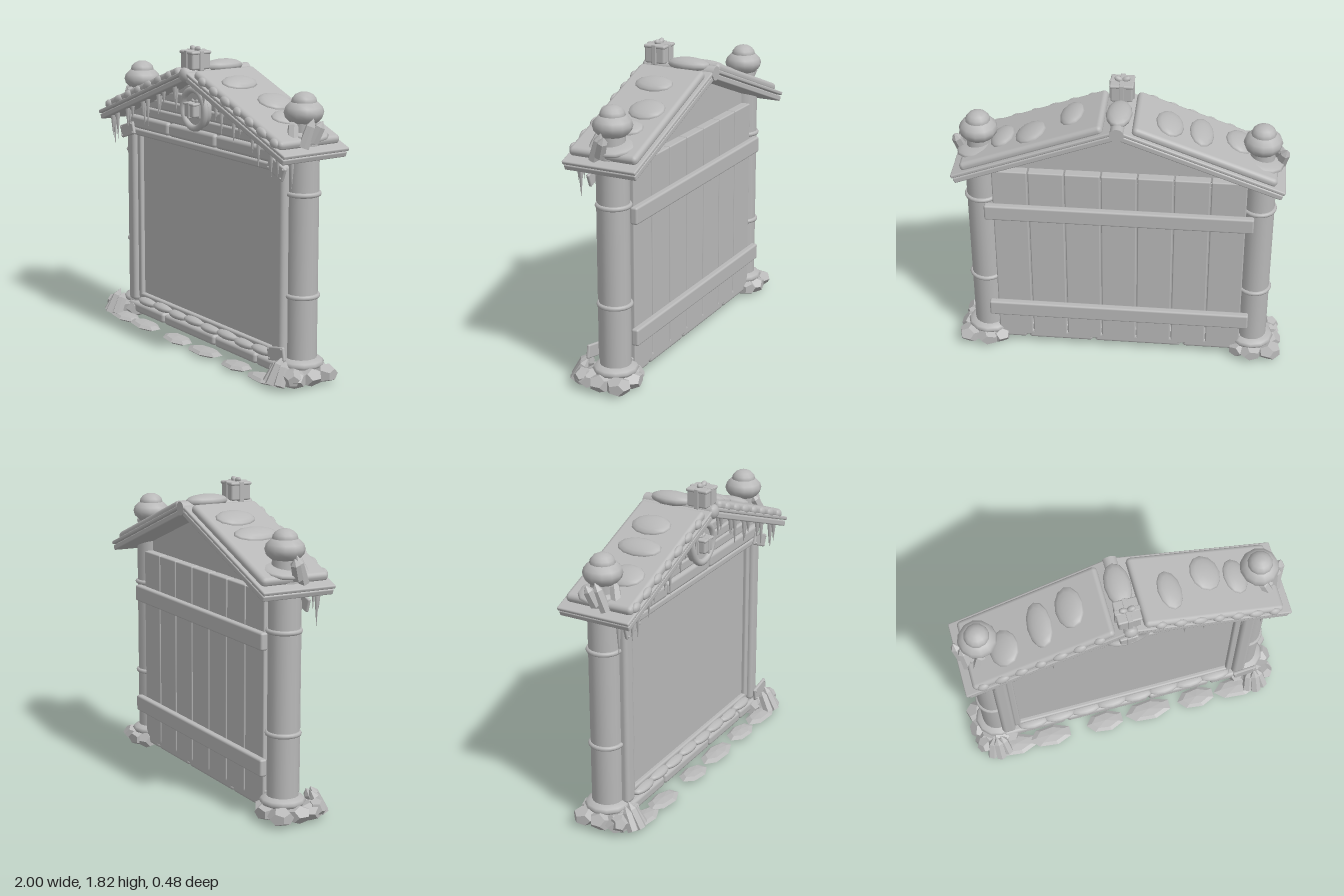
import * as THREE from 'three';
import { RoundedBoxGeometry } from 'three/addons/geometries/RoundedBoxGeometry.js';

export function createModel() {
  const root = new THREE.Group();
  root.name = 'noticeBoard';
  const grey = new THREE.MeshStandardMaterial({ color: 0xb8b8b8 });
  grey.name = 'plain grey';

  // ---- helpers ----
  const add = (geo, name, pos, parent = root, rot = [0, 0, 0]) => {
    const m = new THREE.Mesh(geo, grey);
    m.name = name;
    m.position.set(...pos);
    m.rotation.set(...rot);
    parent.add(m);
    return m;
  };
  const faceted = (g) => {
    const f = g.index ? g.toNonIndexed() : g;
    f.computeVertexNormals();
    return f;
  };
  const block = (w, h, d, name, pos, parent, rot, r = 0.012) =>
    add(new RoundedBoxGeometry(w, h, d, 2, Math.min(r, w / 2.1, h / 2.1, d / 2.1)), name, pos, parent, rot);
  const blob = (rx, ry, rz, name, pos, parent, rot) =>
    add(new THREE.SphereGeometry(1, 12, 8).scale(rx, ry, rz), name, pos, parent, rot);
  const rock = (rx, ry, rz, name, pos, rot) =>
    add(faceted(new THREE.DodecahedronGeometry(1, 0).scale(rx, ry, rz)), name, pos, root, rot);
  const crystal = (r, h, name, pos, rot) => {
    const pts = [[0, 0], [r, 0], [r * 0.9, h * 0.72], [0, h]].map((p) => new THREE.Vector2(...p));
    return add(faceted(new THREE.LatheGeometry(pts, 6)), name, pos, root, rot);
  };

  // ---- present with ribbon and bow ----
  const present = (s, pos) => {
    const g = new THREE.Group();
    g.name = 'present';
    g.position.set(...pos);
    root.add(g);
    block(s, s * 0.82, s, 'presentBox', [0, 0, 0], g);
    block(s * 1.08, s * 0.16, s * 1.08, 'presentLid', [0, s * 0.36, 0], g);
    block(s * 0.22, s * 0.92, s * 1.12, 'ribbonFront', [0, 0, 0], g, undefined, 0.004);
    block(s * 1.12, s * 0.92, s * 0.22, 'ribbonSide', [0, 0, 0], g, undefined, 0.004);
    for (const k of [-1, 1])
      blob(s * 0.2, s * 0.13, s * 0.13, 'bowLoop', [k * s * 0.17, s * 0.5, 0], g, [0, 0, k * 0.4]);
  };

  // ---- screen and frame ----
  add(new THREE.BoxGeometry(1.4, 1.06, 0.1), 'displayPanel', [0, 0.69, 0]);
  for (const s of [-1, 1]) {
    block(0.085, 1.13, 0.13, 'frameColumn', [s * 0.76, 0.69, 0.035], root, undefined, 0.025);
    block(0.042, 1.07, 0.09, 'innerFrame', [s * 0.7, 0.69, 0.03]);
  }
  block(1.6, 0.042, 0.13, 'topRail', [0, 1.225, 0.025]);
  block(1.44, 0.03, 0.09, 'bottomRail', [0, 0.17, 0.03]);

  // ---- lintel and plinth bricks ----
  for (const [a, b] of [[-0.78, -0.34], [-0.33, 0.15], [0.16, 0.78]])
    block(b - a, 0.08, 0.16, 'lintelBrick', [(a + b) / 2, 1.29, 0.02], root, undefined, 0.02);
  for (const [a, b] of [[-0.8, -0.395], [-0.385, 0.15], [0.16, 0.56], [0.57, 0.8]])
    block(b - a, 0.065, 0.22, 'plinthBrick', [(a + b) / 2, 0.087, -0.005], root, undefined, 0.02);
  block(1.5, 0.05, 0.17, 'plinthCore', [0, 0.14, -0.02]);
  for (let i = 0; i < 8; i++)
    blob(0.1, 0.026, 0.045, 'ledgeStone', [-0.6 + i * 0.172, 0.142 + (i % 2) * 0.006, 0.075]);

  // ---- back planks and cross beams ----
  const pw = 1.49 / 7;
  for (let i = 0; i < 7; i++)
    block(pw - 0.006, 1.22, 0.06, 'backPlank', [(i - 3) * pw, 0.69, -0.085], root, undefined, 0.008);
  for (const y of [0.31, 1.03]) block(1.58, 0.1, 0.045, 'crossBeam', [0, y, -0.138]);

  // ---- gable ----
  const tri = new THREE.Shape([[-0.86, 1.3], [0.86, 1.3], [0.86, 1.335], [0, 1.655], [-0.86, 1.335]]
    .map((p) => new THREE.Vector2(...p)));
  add(new THREE.ExtrudeGeometry(tri, { depth: 0.13, bevelEnabled: false }), 'gable', [0, 0, -0.06]);
  [[1.365, 0.66], [1.43, 0.5], [1.495, 0.34], [1.56, 0.18]].forEach(([y, w]) =>
    block(w * 2, 0.06, 0.03, 'gableBoard', [0, y, 0.075]));

  // ---- round emblem ----
  add(new THREE.CylinderGeometry(0.115, 0.115, 0.04, 28), 'emblemDisc', [0, 1.465, 0.11], root, [Math.PI / 2, 0, 0]);
  add(new THREE.TorusGeometry(0.113, 0.02, 10, 32), 'emblemRing', [0, 1.465, 0.135]);
  present(0.1, [0, 1.46, 0.125]);

  // ---- posts, finials and footings, one per side ----
  for (const s of [-1, 1]) {
    const px = s * 0.815, pz = -0.03;
    add(new THREE.CylinderGeometry(0.09, 0.09, 1.3, 20), 'post', [px, 0.72, pz]);
    add(new THREE.CylinderGeometry(0.07, 0.075, 0.22, 16), 'finialStem', [px, 1.43, pz]);
    for (const y of [0.51, 1.09])
      add(new THREE.TorusGeometry(0.09, 0.014, 8, 24), 'postBand', [px, y, pz], root, [Math.PI / 2, 0, 0]);
    blob(0.13, 0.028, 0.12, 'finialCollar', [px, 1.425, pz - 0.02], root, [0, 0, -s * 0.2]);
    blob(0.112, 0.075, 0.112, 'finialBlob', [px, 1.54, pz]);
    blob(0.072, 0.055, 0.072, 'finialCap', [px, 1.597, pz]);
    for (const [x, y, z, h, rz] of [[0.86, 1.37, 0.085, 0.16, 0.35], [0.9, 1.36, 0.04, 0.17, -0.1], [0.92, 1.39, -0.01, 0.13, -0.25]])
      crystal(0.033, h, 'roofCrystal', [s * x, y, z], [-0.35, 0, s * rz]);

    // footing
    blob(0.135, 0.042, 0.132, 'footingCollar', [px, 0.12, pz]);
    [[0.11, 0.03, 0.08], [0.115, -0.08, 0.075], [0.09, 0.12, 0.085], [0, -0.09, 0.08], [-0.07, -0.07, 0.07], [0.01, 0.11, 0.08], [-0.06, 0.1, 0.07]]
      .forEach(([x, z, r], i) => rock(r, 0.055, r, 'footingRock', [px + s * x, 0.066, pz + z], [0, i * 1.3, 0]));
    rock(0.055, 0.055, 0.055, 'footingBoulder', [s * 0.93, 0.08, 0.12], [0.3, 0.5, 0]);
    for (const [x, z, h, rz] of [[0.9, 0.19, 0.15, 0.2], [0.85, 0.21, 0.17, 0], [0.8, 0.19, 0.15, -0.15]])
      crystal(0.034, h, 'footCrystal', [s * x, 0.035, z], [-0.5, 0, s * rz]);
  }

  // ---- tilted plates with studs ----
  for (const [x, y, z, r] of [[-0.76, 1.235, 0.115, 0.3], [0.765, 1.235, 0.115, -0.4], [0.79, 0.185, 0.125, 0.2]]) {
    const g = new THREE.Group();
    g.name = 'tiltedPlate';
    g.position.set(x, y, z);
    g.rotation.z = r;
    root.add(g);
    block(0.15, 0.08, 0.02, 'plate', [0, 0, 0], g, undefined, 0.008);
    for (const i of [-1, 1]) for (const j of [-1, 1])
      blob(0.007, 0.007, 0.006, 'stud', [i * 0.06, j * 0.027, 0.01], g);
  }

  // ---- roof: each half is laid out along its own slope ----
  const pitch = 0.358, apex = 1.665;
  const patches = {
    '-1': [[0.66, 0.04, 0.09, 0.11], [0.44, -0.01, 0.075, 0.14], [0.26, -0.04, 0.085, 0.125]],
    '1': [[0.25, 0.01, 0.075, 0.12], [0.48, -0.07, 0.095, 0.11], [0.65, -0.03, 0.075, 0.11]],
  };
  for (const s of [-1, 1]) {
    const g = new THREE.Group();
    g.name = s > 0 ? 'leftRoof' : 'rightRoof';
    g.position.y = apex;
    g.rotation.z = -s * pitch;
    root.add(g);
    block(1.005, 0.034, 0.445, 'roofDeck', [s * 0.503, -0.012, -0.015], g, undefined, 0.008);
    block(0.99, 0.022, 0.455, 'roofBoard', [s * 0.515, 0.02, -0.015], g, undefined, 0.008);
    block(0.875, 0.055, 0.42, 'snowLayer', [s * 0.51, 0.045, -0.01], g, undefined, 0.025);
    for (const [x, z, rx, rz] of patches[s])
      blob(rx, 0.034, rz, 'snowPatch', [s * x / Math.cos(pitch), 0.07, z], g);
    for (let i = 0; i < 7; i++)
      blob(0.036 + (i % 3) * 0.006, 0.028, 0.022, 'edgeLump', [s * (0.17 + i * 0.12), 0.042, 0.195], g);
  }

  // ---- icicles under the front eaves ----
  const sizes = [0.1, 0.15, 0.08, 0.13, 0.11, 0.17];
  for (const s of [-1, 1])
    for (let i = 0; i < 14; i++) {
      const x = 0.15 + i * 0.058;
      const h = sizes[(i + (s > 0 ? 2 : 0)) % 6] + (i > 11 ? 0.04 : 0);
      const y = apex - 0.025 - x * Math.tan(pitch);
      add(new THREE.ConeGeometry(0.015, h, 7), 'icicle', [s * x, y - h / 2, i % 3 === 1 ? 0.12 : 0.17], root, [Math.PI, 0, 0]);
    }

  // ---- ridge ----
  add(new THREE.CylinderGeometry(0.042, 0.042, 0.45, 14), 'ridgeLog', [0, 1.67, -0.02], root, [Math.PI / 2, 0, 0]);
  blob(0.043, 0.043, 0.03, 'ridgeKnob', [0, 1.67, 0.2]);
  blob(0.075, 0.04, 0.135, 'ridgeSnow', [0, 1.705, -0.07]);
  present(0.128, [0, 1.752, 0.125]);

  // ---- flat stepping stones in front ----
  for (const [x, w] of [[-0.74, 0.14], [-0.51, 0.14], [-0.15, 0.125], [0.14, 0.155], [0.46, 0.125], [0.74, 0.16]])
    add(faceted(new THREE.SphereGeometry(1, 7, 4).scale(w, 0.02, 0.07)), 'steppingStone', [x, 0.031, 0.16], root, [0, 0, 0.03 * Math.sign(x)]);

  return root;
}
